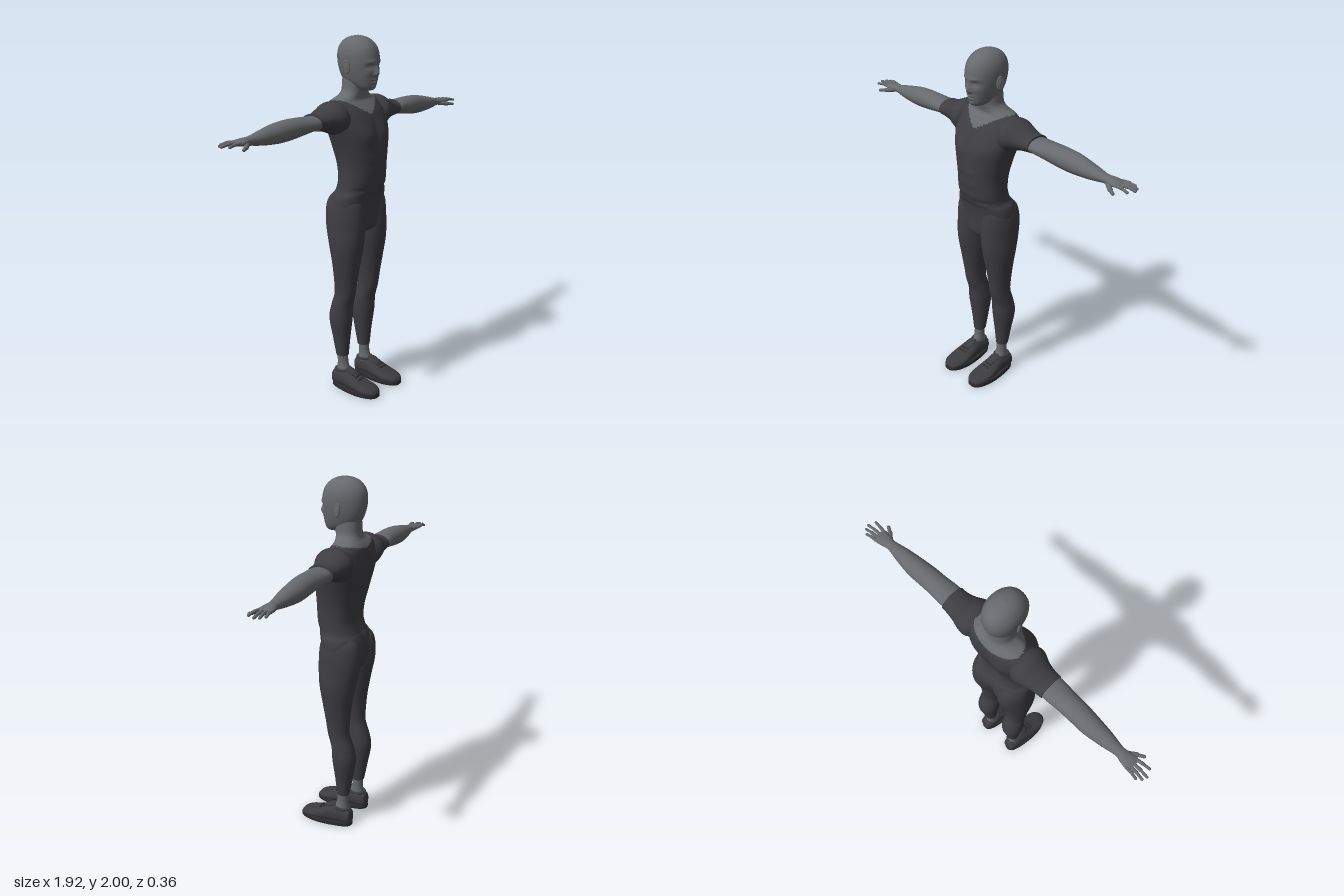
import * as THREE from 'three';

const flat = (color) => new THREE.MeshStandardMaterial({ color });
const skin = flat(0x66696d); skin.name = 'skin';
const cloth = flat(0x3e3d42); cloth.name = 'cloth';
const shoeGrey = flat(0x3c3c40); shoeGrey.name = 'shoeGrey';
const soleDark = flat(0x2c2b2f); soleDark.name = 'soleDark';

// For each loft axis: which component is t, a and b.
const AXES = { y: ['y', 'x', 'z'], x: ['x', 'z', 'y'], z: ['z', 'y', 'x'] };

// Smooth loft through rows [t, aMin, aMax, bMin, bMax] with t ascending.
function loft(rows, { axis = 'y', seg = 40, steps = 6, power = 2, warp, pick } = {}) {
  const [T, A, B] = AXES[axis];
  const curve = (i) => new THREE.CatmullRomCurve3(
    rows.map((r) => new THREE.Vector3(r[0], r[i], r[i + 1])), false, 'catmullrom', 0.5);
  const ca = curve(1), cb = curve(3), n = (rows.length - 1) * steps;
  const pts = [], lists = [[], [], []];
  const bend = (c) => Math.sign(c) * Math.abs(c) ** (2 / power);
  for (let i = 0; i <= n; i++) {
    const a = ca.getPoint(i / n), b = cb.getPoint(i / n);
    for (let j = 0; j < seg; j++) {
      const q = (j / seg) * Math.PI * 2, v = new THREE.Vector3();
      v[T] = a.x;
      v[A] = (a.y + a.z) / 2 + bend(Math.cos(q)) * (a.z - a.y) / 2;
      v[B] = (b.y + b.z) / 2 + bend(Math.sin(q)) * (b.z - b.y) / 2;
      if (warp) warp(v);
      pts.push(v);
    }
  }
  for (let i = 0; i < n; i++) for (let j = 0; j < seg; j++) {
    const k = (j + 1) % seg, p = i * seg + j, r = i * seg + k, s = p + seg, u = r + seg;
    const mid = pts[p].clone().add(pts[u]).multiplyScalar(0.5);
    lists[pick ? pick(mid) : 0].push(p, s, r, r, s, u);
  }
  // End caps with their own ring, so the rim stays crisp
  for (const end of [0, n]) {
    const ring = pts.slice(end * seg, end * seg + seg), base = pts.length;
    const mid = new THREE.Vector3();
    ring.forEach((v) => { mid.addScaledVector(v, 1 / seg); pts.push(v.clone()); });
    pts.push(mid);
    for (let j = 0; j < seg; j++) {
      const p = base + j, r = base + (j + 1) % seg;
      lists[pick ? pick(mid) : 0].push(...(end ? [p, base + seg, r] : [p, r, base + seg]));
    }
  }
  const g = new THREE.BufferGeometry().setFromPoints(pts);
  g.setIndex(lists.flat());
  if (pick) {
    let start = 0;
    lists.forEach((l, m) => { g.addGroup(start, l.length, m); start += l.length; });
  }
  g.computeVertexNormals();
  return g;
}

// Mirrored copy across x, with the face order turned round
function mirrored(geo) {
  const g = geo.clone().scale(-1, 1, 1), ix = g.index.array;
  for (let i = 0; i < ix.length; i += 3) [ix[i], ix[i + 1]] = [ix[i + 1], ix[i]];
  const nor = g.attributes.normal, src = geo.attributes.normal;
  for (let i = 0; i < nor.count; i++) nor.setXYZ(i, -src.getX(i), src.getY(i), src.getZ(i));
  return g;
}

// Rounded rod between two points
function rod(from, to, r) {
  const a = new THREE.Vector3(...from), b = new THREE.Vector3(...to), d = b.clone().sub(a);
  const g = new THREE.CapsuleGeometry(r, Math.max(d.length() - r, 0.001), 6, 12);
  g.applyQuaternion(new THREE.Quaternion().setFromUnitVectors(new THREE.Vector3(0, 1, 0), d.normalize()));
  const m = a.add(b).multiplyScalar(0.5);
  return g.translate(m.x, m.y, m.z);
}

// Soft bumps [x, y, width, height, depth], mirrored by |x|
const swell = (v, bumps) => bumps.reduce((s, [x, y, w, h, d]) =>
  s + d * Math.exp(-(((Math.abs(v.x) - x) / w) ** 2) - ((v.y - y) / h) ** 2), 0);
const sym = ([y, rx, back, front]) => [y, -rx, rx, back, front];

export function createModel() {
  const model = new THREE.Group();
  const add = (name, geo, mat) => {
    const m = new THREE.Mesh(geo, mat);
    m.name = name;
    model.add(m);
  };
  const pair = (name, geo, mat) => {
    add(name + 'Left', geo, mat);
    add(name + 'Right', mirrored(geo), mat);
  };

  // Torso, with V neckline, scooped back and neck
  const chest = [[0.075, 1.49, 0.06, 0.05, 0.01], [0, 1.49, 0.015, 0.08, -0.006],
    [0.035, 1.36, 0.025, 0.025, 0.004], [0.035, 1.29, 0.025, 0.025, 0.004], [0.035, 1.22, 0.025, 0.025, 0.004],
    [0, 1.0, 0.04, 0.04, 0.008], [0.1, 1.19, 0.05, 0.012, -0.005]];
  const back = [[0, 1.36, 0.03, 0.2, 0.018], [0.1, 1.53, 0.05, 0.07, -0.006], [0, 1.02, 0.02, 0.07, 0.02]];
  add('torso', loft([
    [0.93, 0.05, -0.1, 0], [0.96, 0.12, -0.14, 0.05], [1.02, 0.176, -0.162, 0.06], [1.1, 0.178, -0.165, 0.066],
    [1.15, 0.17, -0.152, 0.074], [1.18, 0.15, -0.138, 0.086], [1.24, 0.144, -0.125, 0.098],
    [1.32, 0.144, -0.135, 0.104], [1.4, 0.158, -0.155, 0.106], [1.47, 0.178, -0.168, 0.097],
    [1.54, 0.2, -0.175, 0.075], [1.6, 0.2, -0.172, 0.045], [1.64, 0.185, -0.165, 0.015],
    [1.665, 0.155, -0.152, -0.004], [1.685, 0.105, -0.138, -0.004], [1.71, 0.075, -0.13, 0.003],
    [1.75, 0.068, -0.128, 0.01], [1.8, 0.066, -0.125, 0.012],
  ].map(sym), {
    seg: 96, steps: 8, power: 2.3,
    warp: (v) => { v.z += v.z > -0.03 ? swell(v, chest) : swell(v, back) * Math.min(1, (-0.03 - v.z) / 0.06); },
    pick: (v) => {
      const x = Math.abs(v.x);
      return v.y > (v.z > -0.06 ? 1.59 + 0.6 * x : 1.64 + 0.2 * x) ? 1 : 0;
    },
  }), [cloth, skin, skin]);

  // Head, sculpted face
  const face = [[0, 1.81, 0.012, 0.018, 0.019], [0, 1.835, 0.009, 0.022, 0.009], [0.013, 1.803, 0.008, 0.009, 0.006],
    [0.034, 1.845, 0.019, 0.013, -0.011], [0.034, 1.843, 0.011, 0.006, 0.004], [0.03, 1.869, 0.028, 0.009, 0.005],
    [0, 1.776, 0.022, 0.006, 0.006], [0, 1.768, 0.024, 0.003, -0.004], [0, 1.76, 0.018, 0.006, 0.006],
    [0, 1.735, 0.018, 0.012, 0.007], [0.045, 1.81, 0.018, 0.018, 0.003]];
  add('head', loft([
    [1.716, 0.022, -0.01, 0.045], [1.722, 0.036, -0.03, 0.058], [1.737, 0.052, -0.07, 0.067],
    [1.76, 0.066, -0.115, 0.074], [1.79, 0.077, -0.138, 0.079], [1.83, 0.087, -0.152, 0.083],
    [1.87, 0.092, -0.159, 0.085], [1.91, 0.092, -0.158, 0.08], [1.945, 0.083, -0.147, 0.066],
    [1.975, 0.063, -0.122, 0.038], [1.992, 0.037, -0.088, 0.004], [2.0, 0.004, -0.045, -0.037],
  ].map(sym), {
    seg: 96, steps: 9, power: 2.1,
    warp: (v) => { if (v.z > 0) v.z += swell(v, face) * Math.min(1, v.z / 0.04); },
  }), skin);

  // Ears: flat shell with a raised rim
  const place = (g) => g.rotateY(1.25).rotateX(-0.12).translate(0.096, 1.842, -0.04);
  pair('ear', place(new THREE.SphereGeometry(1, 20, 14).scale(0.016, 0.03, 0.007)), skin);
  pair('earRim', place(new THREE.TorusGeometry(0.015, 0.0045, 8, 28).scale(1, 1.9, 1.2)), skin);

  // Sleeves and arms
  pair('sleeve', loft([
    [0.12, -0.14, 0, 1.5, 1.645], [0.16, -0.168, 0.035, 1.485, 1.667], [0.2, -0.17, 0.034, 1.5, 1.668],
    [0.25, -0.156, 0.012, 1.518, 1.645], [0.3, -0.146, 0.002, 1.528, 1.625], [0.338, -0.143, 0, 1.533, 1.622],
  ], { axis: 'x' }), cloth);
  pair('arm', loft([
    [0.3, -0.13, -0.008, 1.542, 1.61], [0.36, -0.136, -0.004, 1.536, 1.614], [0.44, -0.131, -0.01, 1.524, 1.619],
    [0.52, -0.13, -0.013, 1.514, 1.62], [0.6, -0.129, -0.02, 1.51, 1.613], [0.7, -0.115, -0.031, 1.518, 1.594],
    [0.78, -0.101, -0.045, 1.53, 1.576], [0.82, -0.11, -0.04, 1.534, 1.573],
    [0.86, -0.116, -0.036, 1.539, 1.567], [0.876, -0.106, -0.046, 1.547, 1.561],
  ], { axis: 'x' }), skin);

  // Fingers [base x, base z, tip x, tip z] and thumb
  [[0.845, -0.107, 0.928, -0.118], [0.855, -0.09, 0.952, -0.1], [0.855, -0.07, 0.962, -0.076],
    [0.85, -0.048, 0.945, -0.037]].forEach(([x, z, tx, tz], i) => {
    const mx = (x + tx) / 2 + 0.008, mz = (z + tz) / 2;
    pair('fingerBase' + (i + 1), rod([x, 1.554, z], [mx, 1.557, mz], 0.0088), skin);
    pair('fingerTip' + (i + 1), rod([mx - 0.004, 1.557, mz], [tx - 0.004, 1.55, tz], 0.0072), skin);
  });
  pair('thumbBase', rod([0.8, 1.545, -0.062], [0.855, 1.537, -0.02], 0.0125), skin);
  pair('thumbTip', rod([0.85, 1.537, -0.024], [0.884, 1.534, -0.003], 0.009), skin);

  // Trouser legs and ankles
  pair('leg', loft([
    [0.195, 0.063, 0.133, -0.118, -0.045], [0.3, 0.05, 0.147, -0.137, -0.035], [0.42, 0.037, 0.165, -0.156, -0.02],
    [0.5, 0.039, 0.162, -0.142, -0.014], [0.58, 0.048, 0.157, -0.118, 0.008], [0.66, 0.043, 0.163, -0.119, 0.02],
    [0.76, 0.028, 0.176, -0.128, 0.037], [0.88, 0.01, 0.189, -0.15, 0.058], [0.98, 0.002, 0.187, -0.172, 0.064],
    [1.06, 0, 0.184, -0.175, 0.062], [1.12, 0.015, 0.172, -0.162, 0.052], [1.16, 0.05, 0.14, -0.13, 0.02],
  ], { seg: 48 }), cloth);
  pair('ankle', loft([
    [0.07, 0.066, 0.134, -0.12, -0.02], [0.11, 0.066, 0.132, -0.114, -0.032],
    [0.15, 0.069, 0.127, -0.11, -0.045], [0.21, 0.068, 0.128, -0.112, -0.05],
  ]), skin);

  // Shoes: sole narrowing at the heel, upper, collar and laces
  pair('sole', loft([
    [0, 0.041, 0.167, -0.137, 0.176], [0.004, 0.037, 0.171, -0.14, 0.18],
    [0.022, 0.037, 0.171, -0.14, 0.18], [0.026, 0.041, 0.167, -0.137, 0.176],
  ], {
    seg: 64, steps: 2, power: 2.5,
    warp: (v) => { v.x = 0.104 + (v.x - 0.104) * (0.83 + 0.17 * THREE.MathUtils.smoothstep(v.z, -0.1, 0.07)); },
  }), soleDark);
  pair('shoe', loft([
    [-0.136, 0.015, 0.06, 0.085, 0.122], [-0.128, 0.012, 0.097, 0.068, 0.14], [-0.08, 0.01, 0.108, 0.058, 0.15],
    [-0.03, 0.01, 0.112, 0.054, 0.154], [0.02, 0.01, 0.093, 0.047, 0.162], [0.08, 0.01, 0.069, 0.042, 0.167],
    [0.13, 0.01, 0.056, 0.047, 0.161], [0.163, 0.013, 0.043, 0.066, 0.142], [0.175, 0.018, 0.03, 0.09, 0.118],
  ], { axis: 'z', power: 2.3 }), shoeGrey);
  pair('shoeCollar', new THREE.TorusGeometry(0.037, 0.008, 8, 32).rotateX(Math.PI / 2)
    .scale(1, 1, 1.2).rotateX(-0.06).translate(0.1, 0.106, -0.075), shoeGrey);
  pair('shoeTongue', new THREE.SphereGeometry(1, 20, 12).scale(0.03, 0.009, 0.045)
    .rotateX(0.4).translate(0.102, 0.106, -0.005), shoeGrey);
  for (let i = 0; i < 4; i++) {
    const z = -0.012 + i * 0.022, y = 0.111 - i * 0.0095;
    pair('lace' + (i + 1), rod([0.078, y - 0.003, z], [0.128, y - 0.003, z + 0.006], 0.0045), soleDark);
  }
  return model;
}
